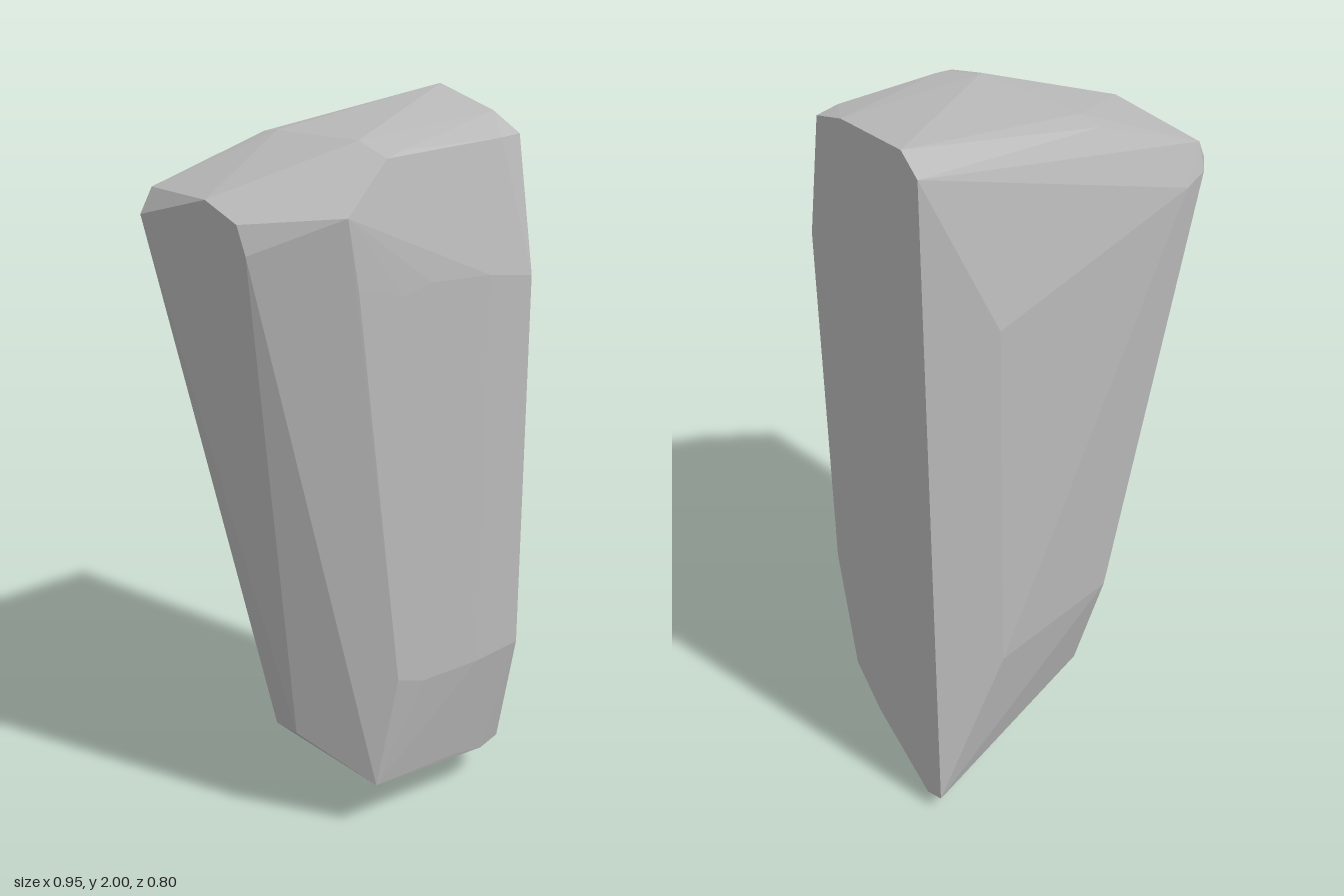
import * as THREE from 'three';
import { ConvexGeometry } from 'three/addons/geometries/ConvexGeometry.js';

// A chipped boulder: the convex hull of a few rings of corners.
export function createModel() {
  const group = new THREE.Group();
  group.name = 'boulder';

  const stone = new THREE.MeshStandardMaterial({ color: 0xbababa, flatShading: true });
  stone.name = 'grey stone';

  // Flat cut side, as (y, z) corners at constant x
  const cutX = 0.477;
  const cutSide = [
    [2.0, -0.31], [1.96, -0.39], [0.05, -0.385], [0, -0.3], [0.06, 0.02],
    [0.13, 0.17], [0.48, 0.265], [1.55, 0.265], [1.91, 0.17], [1.955, 0.02],
  ].map(([y, z]) => [cutX, y, z]);

  // Upper faces
  const top = [
    [-0.09, 1.91, -0.14], [-0.1, 1.9, -0.215], [0, 1.918, 0.205],
    [0.02, 1.888, 0.335], [0.08, 1.902, 0.3], [0.4, 1.908, 0.215],
    [-0.4, 1.79, 0.18], [-0.435, 1.775, -0.168],
  ];

  // Shoulder running round the left side
  const shoulder = [
    [-0.478, 1.71, -0.135], [-0.44, 1.7, -0.19], [-0.37, 1.68, -0.22],
    [-0.36, 1.745, 0.3], [-0.345, 1.67, 0.32],
    [-0.11, 1.76, 0.4], [-0.08, 1.58, 0.398],
  ];

  // Rounded front, repeated at its upper and lower edge
  const front = [[0.055, 0.373, 0], [0.14, 0.354, 0.025], [0.33, 0.308, 0.02]]
    .flatMap(([x, z, bulge]) => [[x, 1.55 + bulge, z], [x, 0.485 - bulge, z]]);

  // Back ridge and lower left corners
  const back = [[0.28, 1.53, -0.4], [0.28, 0.5, -0.4], [-0.15, 0.47, -0.23]];
  const base = [
    [-0.18, 0.29, 0.21], [-0.11, 0.135, -0.14], [0.01, 0.15, 0.335],
    [0.06, 0.135, 0.3], [0.3, 0.145, 0.25], [0.4, 0.125, 0.215],
  ];

  const corners = [cutSide, top, shoulder, front, back, base].flat();
  const rock = new THREE.Mesh(
    new ConvexGeometry(corners.map((p) => new THREE.Vector3(...p))), stone);
  rock.name = 'rock';
  group.add(rock);
  return group;
}
